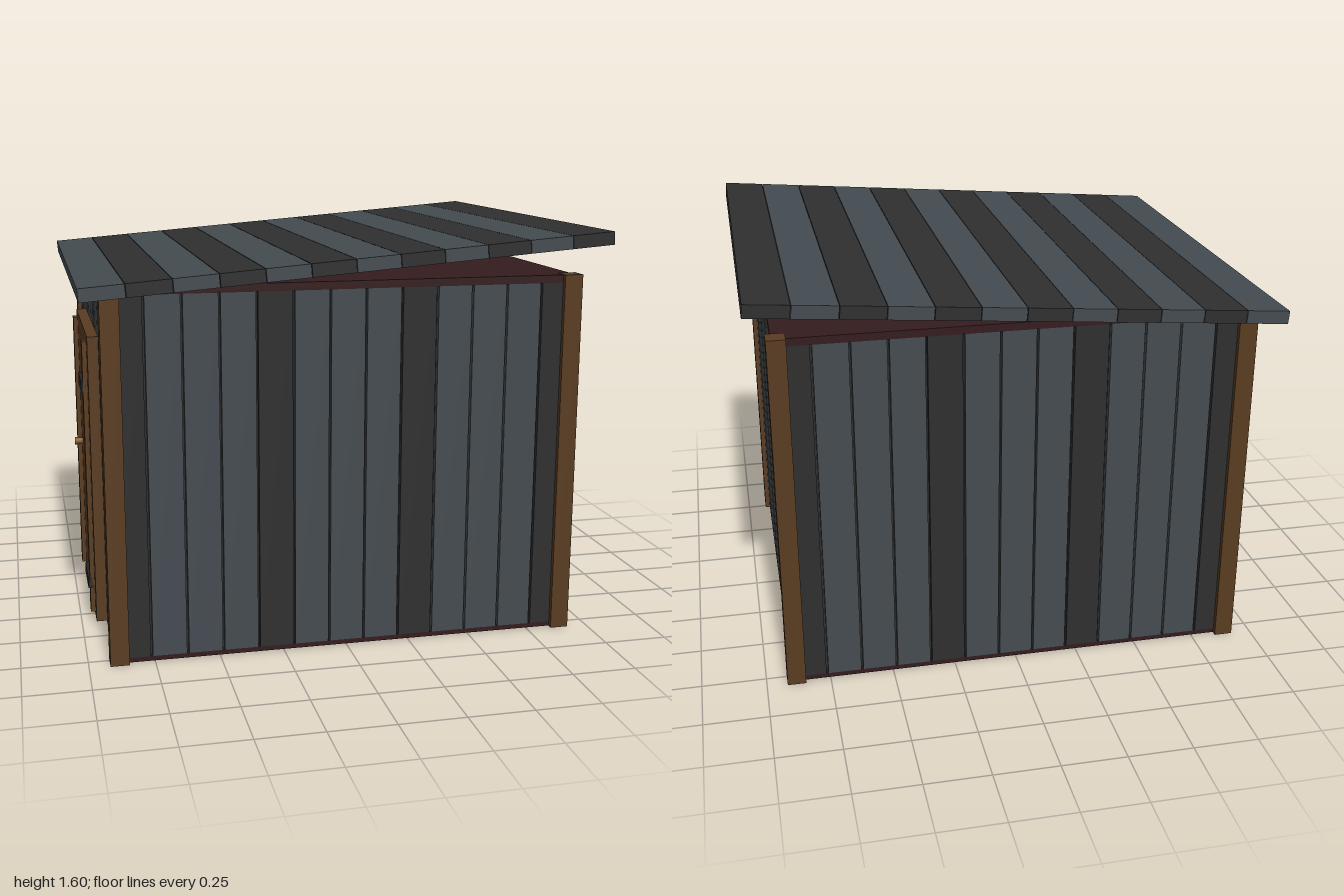
import * as THREE from 'three';

const mat = (name, color) => {
  const m = new THREE.MeshStandardMaterial({ color });
  m.name = name;
  return m;
};

export function createModel() {
  const slate = mat('slate paint', 0x444b50);
  const charcoal = mat('charcoal paint', 0x2f2f2f);
  const timber = mat('brown timber', 0x593c21);
  const redwood = mat('dark red wood', 0x341c1e);
  const iron = mat('black iron', 0x242424);
  const brass = mat('dull brass', 0x80582f);

  const shed = new THREE.Group();
  shed.name = 'shed';

  // Box given by its min and max corners
  const box = (parent, name, material, [x0, y0, z0], [x1, y1, z1]) => {
    const mesh = new THREE.Mesh(new THREE.BoxGeometry(x1 - x0, y1 - y0, z1 - z0), material);
    mesh.position.set((x0 + x1) / 2, (y0 + y1) / 2, (z0 + z1) / 2);
    mesh.name = name;
    parent.add(mesh);
    return mesh;
  };

  const X = 0.9, Z = 0.79, T = 0.022;   // wall outer faces and board thickness
  const LOW = 0.02, HIGH = 1.4;

  // Floor, ceiling and the dark lining seen through the board gaps
  box(shed, 'floor', redwood, [-X, 0.002, -Z], [X, LOW, Z]);
  box(shed, 'ceiling', redwood, [-X, HIGH, -Z], [X, 1.43, Z]);
  box(shed, 'lining', charcoal, [-X + T, LOW, -Z + T], [X - T, HIGH, Z - T]);

  // Walls of vertical boards, every third or fourth one dark
  const gap = 0.004;
  for (const s of [1, -1]) {
    const long = new THREE.Group();
    long.name = s > 0 ? 'frontWall' : 'backWall';
    const w = 2 * X / 13;
    for (let i = 0; i < 13; i++) {
      const x = -X + i * w;
      box(long, 'board', i % 4 === 0 ? charcoal : slate,
        [x + gap, LOW, s > 0 ? Z - T : -Z], [x + w - gap, HIGH, s > 0 ? Z : -Z + T]);
    }
    const side = new THREE.Group();
    side.name = s > 0 ? 'leftWall' : 'rightWall';
    const half = Z - T, d = 2 * half / 11;
    for (let i = 0; i < 11; i++) {
      const z = -half + i * d;
      box(side, 'board', i % 3 === 0 ? charcoal : slate,
        [s > 0 ? X - T : -X, LOW, z + gap], [s > 0 ? X : -X + T, HIGH, z + d - gap]);
    }
    shed.add(long, side);
  }

  // Corner posts
  for (const sx of [-1, 1]) for (const sz of [-1, 1]) {
    const post = box(shed, 'cornerPost', timber, [-0.036, 0, -0.038], [0.036, 1.432, 0.038]);
    post.position.x = sx * 0.884;
    post.position.z = sz * 0.772;
  }

  // Sloping roof of twelve alternating planks
  const roof = new THREE.Group();
  roof.name = 'roof';
  roof.position.y = 1.498;
  roof.rotation.z = 0.08;
  const length = 2.002, plank = length / 12;
  for (let i = 0; i < 12; i++) {
    const x = -length / 2 + i * plank;
    box(roof, 'roofPlank', i % 2 ? charcoal : slate,
      [x + 0.001, -0.025, -0.905], [x + plank - 0.001, 0.025, 0.905]);
  }
  shed.add(roof);

  // Door on the -x side with two battens, strap hinges and a knob
  const door = new THREE.Group();
  door.name = 'door';
  box(door, 'doorPanel', timber, [-0.943, 0.017, -0.385], [-0.895, 1.188, 0.385]);
  for (const s of [-1, 1])
    box(door, 'doorBatten', timber, [-0.962, 0.043, s * 0.315 - 0.025], [-0.943, 1.165, s * 0.315 + 0.025]);
  for (const y of [0.167, 0.98])
    box(door, 'hinge', iron, [-0.969, y - 0.022, 0.14], [-0.943, y + 0.022, 0.34]);
  const knob = new THREE.Mesh(new THREE.CylinderGeometry(0.017, 0.013, 0.036, 16), brass);
  knob.name = 'knob';
  knob.rotation.z = Math.PI / 2;
  knob.position.set(-0.96, 0.628, -0.215);
  door.add(knob);
  shed.add(door);

  return shed;
}
